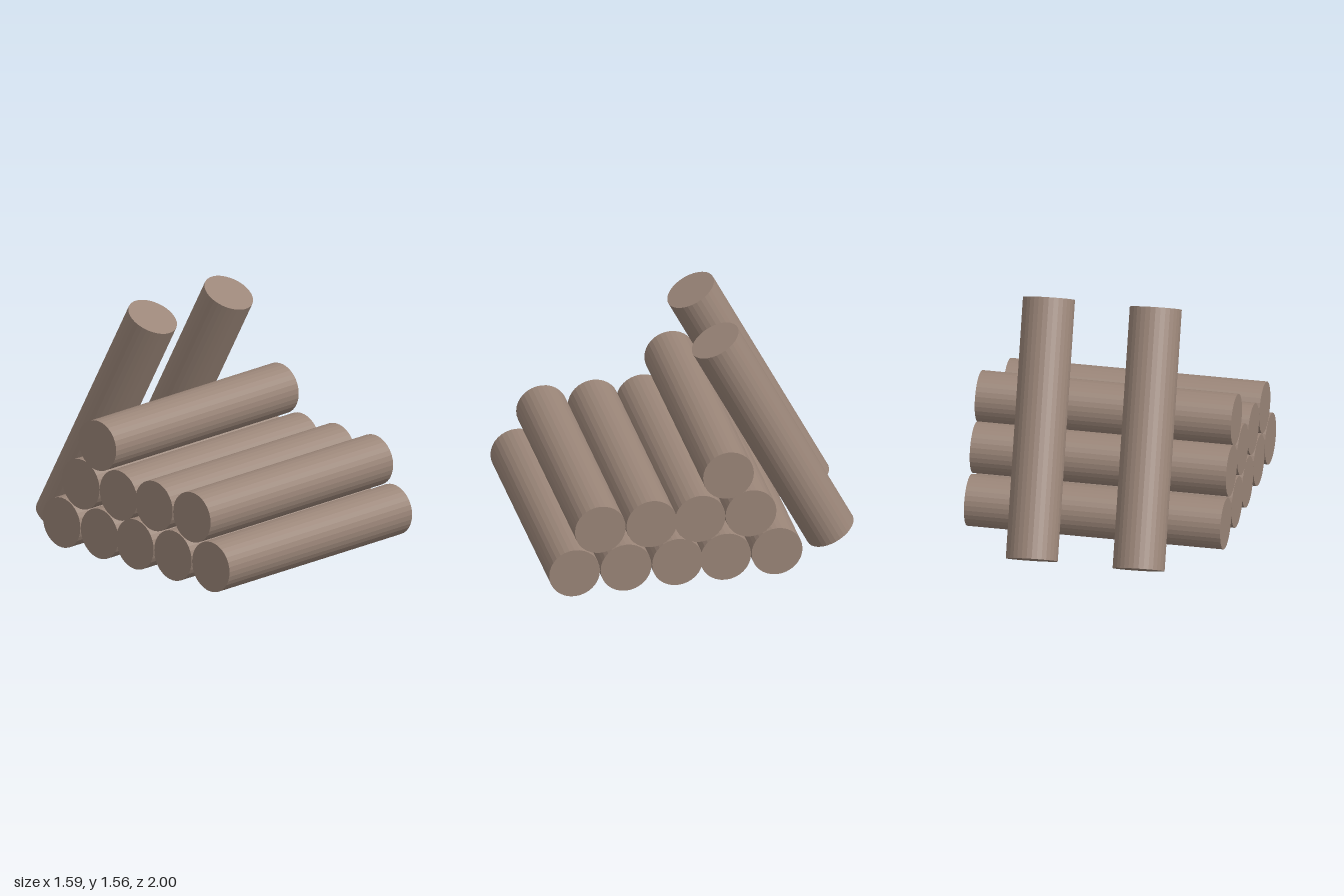
import * as THREE from 'three';

const RADIUS = 0.158;
const LENGTH = 1.59;

export function createModel() {
  const group = new THREE.Group();
  group.name = 'logPile';
  const wood = new THREE.MeshStandardMaterial({ color: 0x9a8578, flatShading: true });
  wood.name = 'brown wood';
  const geometry = new THREE.CylinderGeometry(RADIUS, RADIUS, LENGTH, 32);
  const up = new THREE.Vector3(0, 1, 0);

  // A log centred between two points, with its axis along them
  function addLog(name, from, to) {
    const log = new THREE.Mesh(geometry, wood);
    log.name = name;
    log.position.addVectors(from, to).multiplyScalar(0.5);
    log.quaternion.setFromUnitVectors(up, to.clone().sub(from).normalize());
    group.add(log);
  }

  // Stacked rows of logs lying along x
  const rows = [
    { name: 'bottomLog', y: 0.227, z: [0.842, 0.522, 0.202, -0.097, -0.417] },
    { name: 'middleLog', y: 0.507, z: [0.682, 0.362, 0.062, -0.255] },
    { name: 'topLog', y: 0.784, z: [-0.115] },
  ];
  for (const { name, y, z } of rows) {
    z.forEach((depth, i) => addLog(
      name + (i + 1),
      new THREE.Vector3(-LENGTH / 2, y, depth),
      new THREE.Vector3(LENGTH / 2, y, depth),
    ));
  }

  // Two logs leaning against the back of the pile
  [-0.325, 0.338].forEach((x, i) => addLog(
    'leaningLog' + (i + 1),
    new THREE.Vector3(x - 0.027, 0.072, -0.859),
    new THREE.Vector3(x + 0.027, 1.487, -0.13),
  ));

  return group;
}
